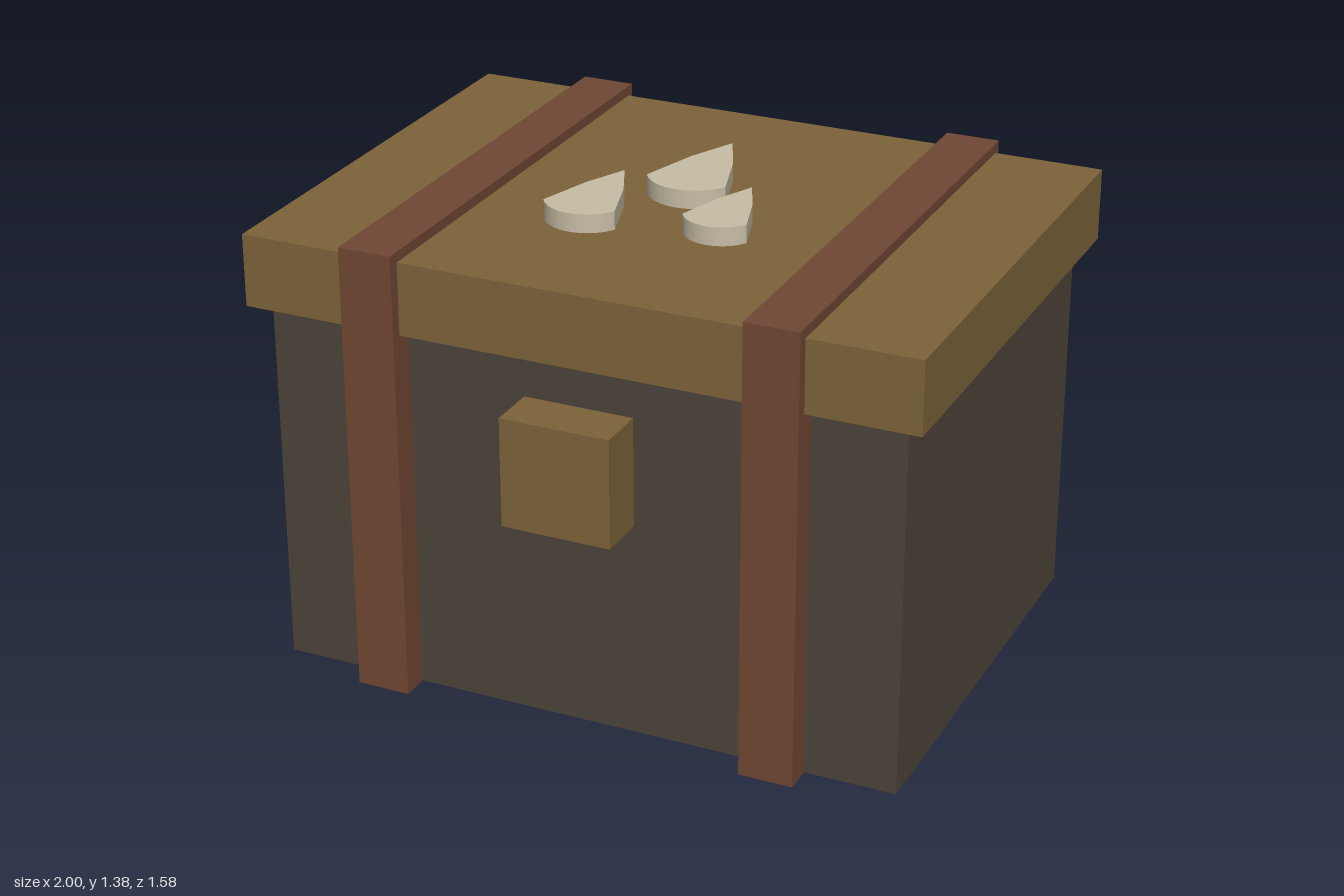
import * as THREE from 'three';

const material = (color) => new THREE.MeshStandardMaterial({ color, flatShading: true });

// Box given by its minimum and maximum corners
function block(name, [x0, y0, z0], [x1, y1, z1], mat) {
  const mesh = new THREE.Mesh(new THREE.BoxGeometry(x1 - x0, y1 - y0, z1 - z0), mat);
  mesh.position.set((x0 + x1) / 2, (y0 + y1) / 2, (z0 + z1) / 2);
  mesh.name = name;
  return mesh;
}

// Teardrop of unit length: tip at the origin, rounded end towards -y
function dropShape() {
  const radius = 0.345, centre = -(1 - radius), corner = 0.49;
  const shape = new THREE.Shape();
  shape.moveTo(0, 0);
  shape.lineTo(-0.165, -0.365);
  shape.lineTo(-0.3, -0.82);
  shape.absarc(0, centre, radius, Math.PI + corner, 2 * Math.PI - corner, false);
  shape.lineTo(0.165, -0.365);
  shape.closePath();
  return shape;
}

export function createModel() {
  const model = new THREE.Group();
  model.name = 'chest';
  const dark = material(0x4d443a);
  const wood = material(0x7d633a);
  const leather = material(0x704834);
  const bone = material(0xc8bea6);

  // Body, overhanging lid and front latch
  model.add(block('body', [-0.945, 0, -0.71], [0.945, 1.11, 0.64], dark));
  model.add(block('lid', [-1, 1.11, -0.765], [1, 1.325, 0.69], wood));
  model.add(block('latch', [-0.163, 0.65, 0.6], [0.163, 0.975, 0.79], wood));

  // Straps wrapped around body and lid
  for (const [name, x] of [['leftStrap', 0.595], ['rightStrap', -0.595]]) {
    model.add(block(name, [x - 0.08, 0, -0.79], [x + 0.08, 1.355, 0.725], leather));
  }

  // Raised teardrops on the lid: tip x, tip z, length
  const drops = new THREE.Group();
  drops.name = 'teardrops';
  for (const [x, z, length] of [[0, -0.385, 0.4], [-0.192, -0.06, 0.36], [0.19, -0.087, 0.317]]) {
    const geometry = new THREE.ExtrudeGeometry(dropShape(), { depth: 0.06, bevelEnabled: false, curveSegments: 12 });
    geometry.rotateX(-Math.PI / 2);
    geometry.scale(length, 1, length);
    const drop = new THREE.Mesh(geometry, bone);
    drop.position.set(x, 1.32, z);
    drop.name = 'teardrop';
    drops.add(drop);
  }
  model.add(drops);
  return model;
}
